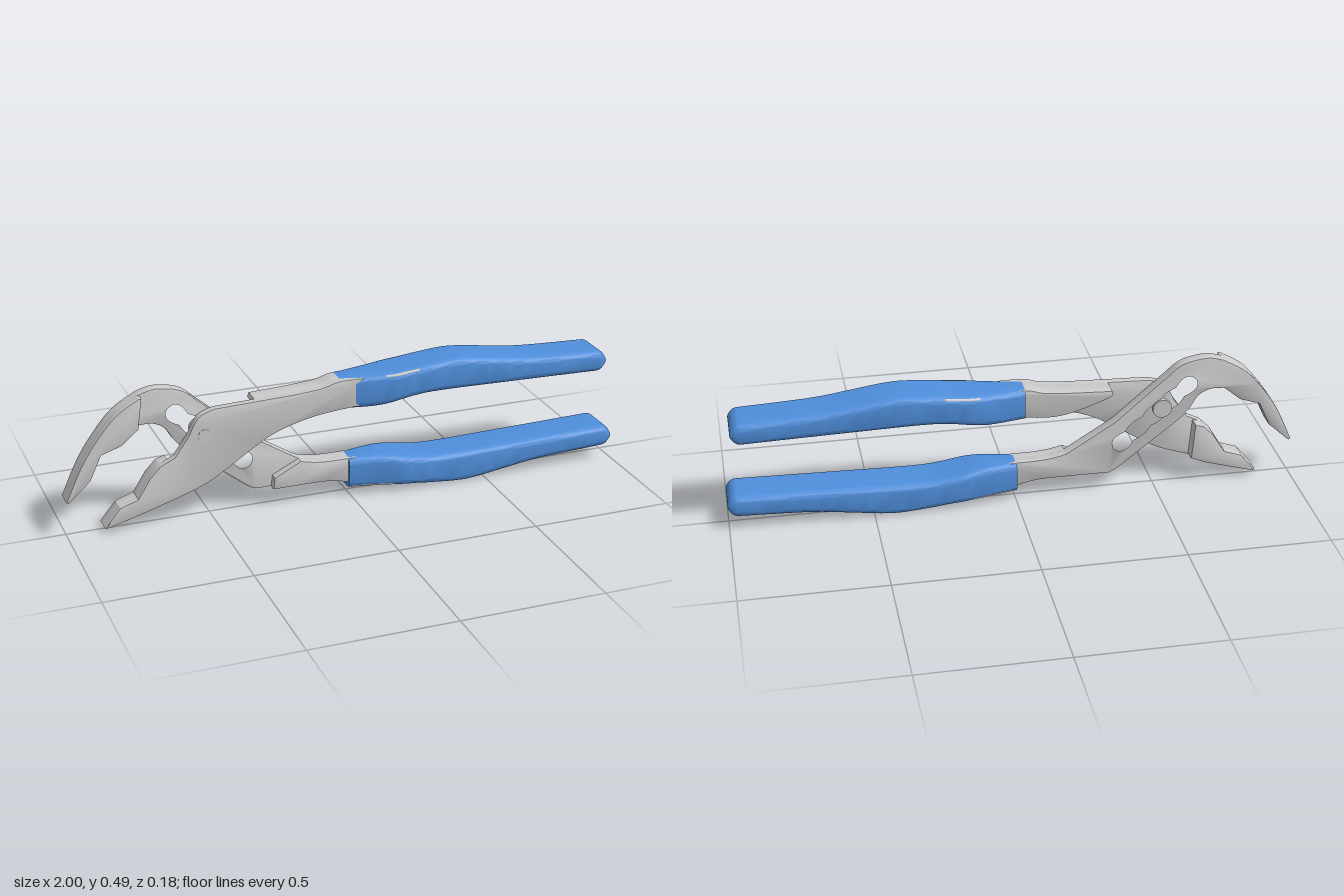
import * as THREE from 'three';
import { toCreasedNormals } from 'three/addons/utils/BufferGeometryUtils.js';

const grey = new THREE.MeshStandardMaterial({ color: 0xcccccc });
const blue = new THREE.MeshStandardMaterial({ color: 0x4f8fdc });
const inlay = new THREE.MeshStandardMaterial({ color: 0xdddddd });

function add(parent, name, geometry, material = grey) {
  const mesh = new THREE.Mesh(geometry, material);
  mesh.name = name;
  parent.add(mesh);
  return mesh;
}

const vec = (pts) => pts.map(([x, y]) => new THREE.Vector2(x, y));
// smooth curve through a few points
const curve = (pts, n = 20) => new THREE.SplineCurve(vec(pts)).getPoints(n).map((p) => [p.x, p.y]);

// steel plate between two depths, with a fine bevel inside the outline
function plate(pts, z0, z1, hole) {
  const shape = new THREE.Shape(vec(pts));
  if (hole) shape.holes.push(new THREE.Path(vec(hole)));
  const b = 0.004;
  const geo = new THREE.ExtrudeGeometry(shape, {
    depth: z1 - z0 - 2 * b, bevelEnabled: true, bevelSize: b, bevelThickness: b, bevelOffset: -b, bevelSegments: 2,
  });
  geo.translate(0, 0, z0 + b);
  return toCreasedNormals(geo, 0.5);
}

// slot with scalloped sides, for the adjustable pivot
function scallopedSlot([ax, ay], [bx, by], r) {
  const len = Math.hypot(bx - ax, by - ay), dx = (bx - ax) / len, dy = (by - ay) / len;
  const pts = [];
  const put = (s, t) => pts.push([ax + dx * s - dy * t, ay + dy * s + dx * t]);
  const halfWidth = (u) => r * (0.78 + 0.22 * Math.abs(Math.cos(u * Math.PI * 4)));
  for (let i = 0; i < 32; i++) put(len * i / 32, halfWidth(i / 32));
  for (let i = 0; i < 12; i++) { const a = Math.PI * (0.5 - i / 12); put(len + r * Math.cos(a), r * Math.sin(a)); }
  for (let i = 32; i > 0; i--) put(len * i / 32, -halfWidth(i / 32));
  for (let i = 0; i < 12; i++) { const a = Math.PI * (1.5 - i / 12) ; put(r * Math.cos(a), -r * Math.sin(a) * -1); }
  return pts;
}

// rounded-rectangle sections [x, bottom, top, half width, corner radius] joined along x
function loft(sections) {
  const seg = 6, n = 4 * (seg + 1), pos = [], idx = [];
  for (const [x, y0, y1, w, rad] of sections) {
    const h = (y1 - y0) / 2, cy = (y0 + y1) / 2, r = Math.min(rad, h, w);
    for (let q = 0; q < 4; q++) for (let k = 0; k <= seg; k++) {
      const a = (q + k / seg) * Math.PI / 2;
      const sy = q === 0 || q === 3 ? 1 : -1, sz = q < 2 ? 1 : -1;
      pos.push(x, cy + sy * (h - r) + r * Math.cos(a), sz * (w - r) + r * Math.sin(a));
    }
  }
  const last = sections.length - 1;
  for (let i = 0; i < last; i++) for (let j = 0; j < n; j++) {
    const a = i * n + j, b = i * n + (j + 1) % n;
    idx.push(a, b, a + n, b, b + n, a + n);
  }
  [0, last].forEach((i) => {
    const [x, y0, y1] = sections[i], c = pos.length / 3;
    pos.push(x, (y0 + y1) / 2, 0);
    for (let j = 0; j < n; j++) {
      const a = i * n + j, b = i * n + (j + 1) % n;
      if (i) idx.push(c, a, b); else idx.push(c, b, a);
    }
  });
  const geo = new THREE.BufferGeometry();
  geo.setAttribute('position', new THREE.Float32BufferAttribute(pos, 3));
  geo.setIndex(idx);
  return toCreasedNormals(geo, 0.6);
}

// padded grip: flared neck, swollen palm, rounded end
function makeGrip(name, inlayX0, inlayX1) {
  const grip = new THREE.Group();
  grip.name = name;
  const top = new THREE.SplineCurve(vec([[-0.03, 0.432], [0.15, 0.438], [0.35, 0.457], [0.44, 0.456], [0.57, 0.438], [0.7, 0.422], [0.94, 0.411]]));
  const bottom = new THREE.SplineCurve(vec([[-0.03, 0.32], [0.1, 0.32], [0.22, 0.34], [0.33, 0.347], [0.6, 0.342], [0.94, 0.334]]));
  const topPts = top.getPoints(200), bottomPts = bottom.getPoints(200);
  const yAt = (pts, x) => pts.reduce((m, p) => (Math.abs(p.x - x) < Math.abs(m.x - x) ? p : m)).y;
  const width = (x) => 0.047 + 0.033 * THREE.MathUtils.clamp((x + 0.03) / 0.19, 0, 1);
  const sections = [];
  for (let i = 0; i <= 48; i++) {
    const x = -0.03 + 0.97 * i / 48;
    sections.push([x, yAt(bottomPts, x), yAt(topPts, x), width(x), 0.024]);
  }
  const cy = 0.3725, h = 0.0385;
  for (let i = 1; i <= 8; i++) {
    const a = i / 8 * Math.PI / 2 * 0.97;
    sections.push([0.94 + 0.035 * Math.sin(a), cy - h * Math.cos(a), cy + h * Math.cos(a), 0.08 - 0.012 * (1 - Math.cos(a)), 0.024]);
  }
  add(grip, 'gripSleeve', loft(sections), blue);
  // pale strips set into the upper edges
  for (const side of [-1, 1]) {
    const path = [0, 1, 2, 3].map((i) => {
      const x = inlayX0 + (inlayX1 - inlayX0) * i / 3;
      return new THREE.Vector3(x, yAt(topPts, x) - 0.0105, side * (width(x) - 0.0105));
    });
    add(grip, 'gripInlay', new THREE.TubeGeometry(new THREE.CatmullRomCurve3(path), 12, 0.0065, 8), inlay);
  }
  return grip;
}

export function createModel() {
  const model = new THREE.Group();
  const back = -0.026, mid = 0.017, front = 0.046;

  // upper jaw, slotted bar and lower shank
  const slottedHalf = new THREE.Group();
  slottedHalf.name = 'slottedHalf';
  const jawBack = curve([[-1, 0.135], [-0.93, 0.28], [-0.83, 0.41], [-0.74, 0.469]]);
  const jawTeeth = [[-0.745, 0.36], [-0.805, 0.31], [-0.875, 0.287], [-0.915, 0.2], [-0.992, 0.13]];
  const slottedOutline = [
    ...jawBack, ...curve([[-0.735, 0.472], [-0.675, 0.485], [-0.59, 0.468], [-0.53, 0.42], [-0.49, 0.385]]),
    [-0.355, 0.265], ...curve([[-0.18, 0.155], [-0.1, 0.14], [0.05, 0.138]], 8),
    [0.05, 0.045], ...curve([[0, 0.045], [-0.08, 0.062], [-0.2, 0.064]], 8), [-0.335, 0.064], [-0.36, 0.075],
    [-0.595, 0.262], ...curve([[-0.625, 0.30], [-0.65, 0.34], [-0.69, 0.362], [-0.74, 0.362]], 10), ...jawTeeth,
  ];
  add(slottedHalf, 'slottedBar', plate(slottedOutline, back, mid, scallopedSlot([-0.612, 0.388], [-0.377, 0.18], 0.036)));
  add(slottedHalf, 'upperJaw', plate([...jawBack, [-0.73, 0.469], ...jawTeeth], 0.005, front));
  add(slottedHalf, 'lowerShank', plate([
    [-0.28, 0.064], [-0.275, 0.107], ...curve([[-0.18, 0.155], [-0.1, 0.14], [0.05, 0.138]], 8),
    [0.05, 0.045], ...curve([[0, 0.045], [-0.08, 0.062], [-0.2, 0.064]], 8),
  ], 0.005, front));
  model.add(slottedHalf);

  // lower jaw, front plate and upper shank
  const pivotHalf = new THREE.Group();
  pivotHalf.name = 'pivotHalf';
  const lowerTeeth = [[-0.875, 0.018], [-0.82, 0.085], [-0.757, 0.107], [-0.714, 0.176], [-0.676, 0.215]];
  const shankTop = curve([[-0.2, 0.406], [-0.1, 0.414], [-0.04, 0.43], [0.05, 0.43]], 10);
  add(pivotHalf, 'frontPlate', plate([
    ...lowerTeeth, [-0.625, 0.24], ...curve([[-0.575, 0.31], [-0.54, 0.372], [-0.485, 0.396]], 10), ...shankTop, [0.05, 0.33],
    ...curve([[-0.03, 0.325], [-0.15, 0.31], [-0.285, 0.268], [-0.42, 0.185], [-0.525, 0.123], [-0.687, 0.068], [-0.86, 0.018]], 30),
  ], mid, front));
  add(pivotHalf, 'lowerJaw', plate([
    ...lowerTeeth, [-0.645, 0.225], [-0.635, 0.09], [-0.687, 0.068], [-0.86, 0.018],
  ], back, mid + 0.012));
  add(pivotHalf, 'upperShank', plate([
    [-0.34, 0.385], [-0.335, 0.4], ...shankTop, [0.05, 0.33], ...curve([[-0.03, 0.325], [-0.13, 0.318], [-0.22, 0.335], [-0.33, 0.375]], 12),
  ], -0.048, mid + 0.012));
  model.add(pivotHalf);

  // pivot pin with a wide head behind and a small rivet face in front
  const pivot = new THREE.Group();
  pivot.name = 'pivot';
  for (const [name, r, z0, z1] of [['pivotPin', 0.026, -0.03, 0.02], ['pivotHead', 0.034, -0.034, -0.018], ['rivetFace', 0.022, 0.02, 0.0475]]) {
    const geo = new THREE.CylinderGeometry(r, r, z1 - z0, 32).rotateX(Math.PI / 2);
    add(pivot, name, geo).position.set(-0.52, 0.305, (z0 + z1) / 2);
  }
  model.add(pivot);

  // the lower grip is the upper one turned half a turn about its length
  const upperGrip = makeGrip('upperGrip', 0.13, 0.25);
  upperGrip.position.z = -0.01;
  const lowerGrip = makeGrip('lowerGrip', -0.02, 0.13);
  lowerGrip.rotation.x = Math.PI;
  lowerGrip.position.set(0.025, 0.458, 0.01);
  model.add(upperGrip, lowerGrip);
  return model;
}
